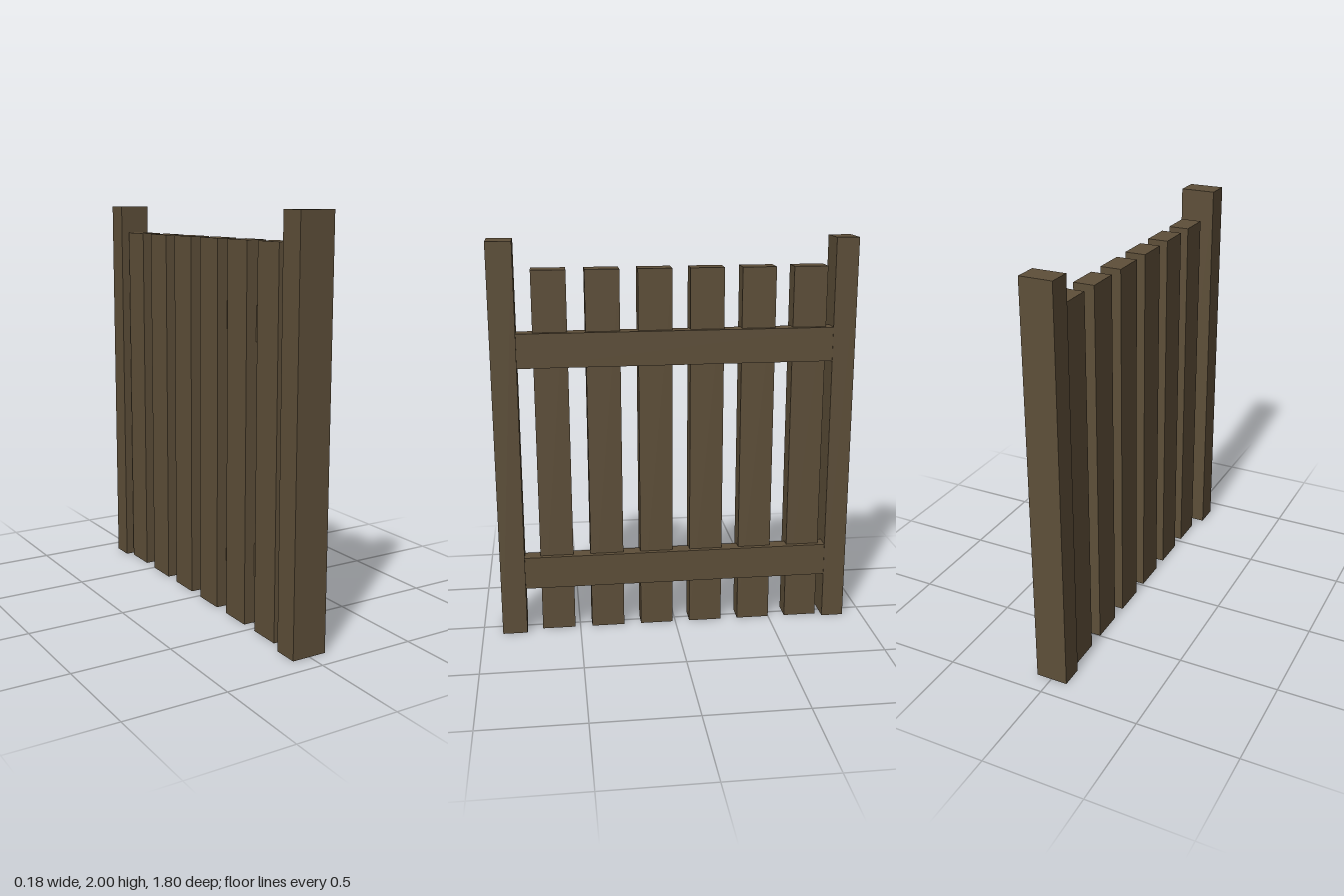
import * as THREE from 'three';

export function createModel() {
  const group = new THREE.Group();
  const wood = new THREE.MeshStandardMaterial({ color: 0x5e4f39, flatShading: true });

  // Box board given by its min and max extents
  const board = (name, [x0, x1], [y0, y1], [z0, z1]) => {
    const mesh = new THREE.Mesh(new THREE.BoxGeometry(x1 - x0, y1 - y0, z1 - z0), wood);
    mesh.position.set((x0 + x1) / 2, (y0 + y1) / 2, (z0 + z1) / 2);
    mesh.name = name;
    group.add(mesh);
  };

  // End posts, the front one slightly thicker
  board('frontPost', [-0.09, 0.088], [0, 2], [0.775, 0.9]);
  board('backPost', [-0.082, 0.077], [0, 2], [-0.9, -0.787]);

  // Upright slats
  for (let i = 0; i < 6; i++) {
    const z = 0.611 - i * 0.2565;
    board('slat' + (i + 1), [-0.054, 0.05], [0, 1.86], [z - 0.084, z + 0.084]);
  }

  // Cross rails on the +x side
  board('lowerRail', [0, 0.075], [0.24, 0.407], [-0.787, 0.778]);
  board('upperRail', [0, 0.075], [1.39, 1.56], [-0.787, 0.778]);

  return group;
}
